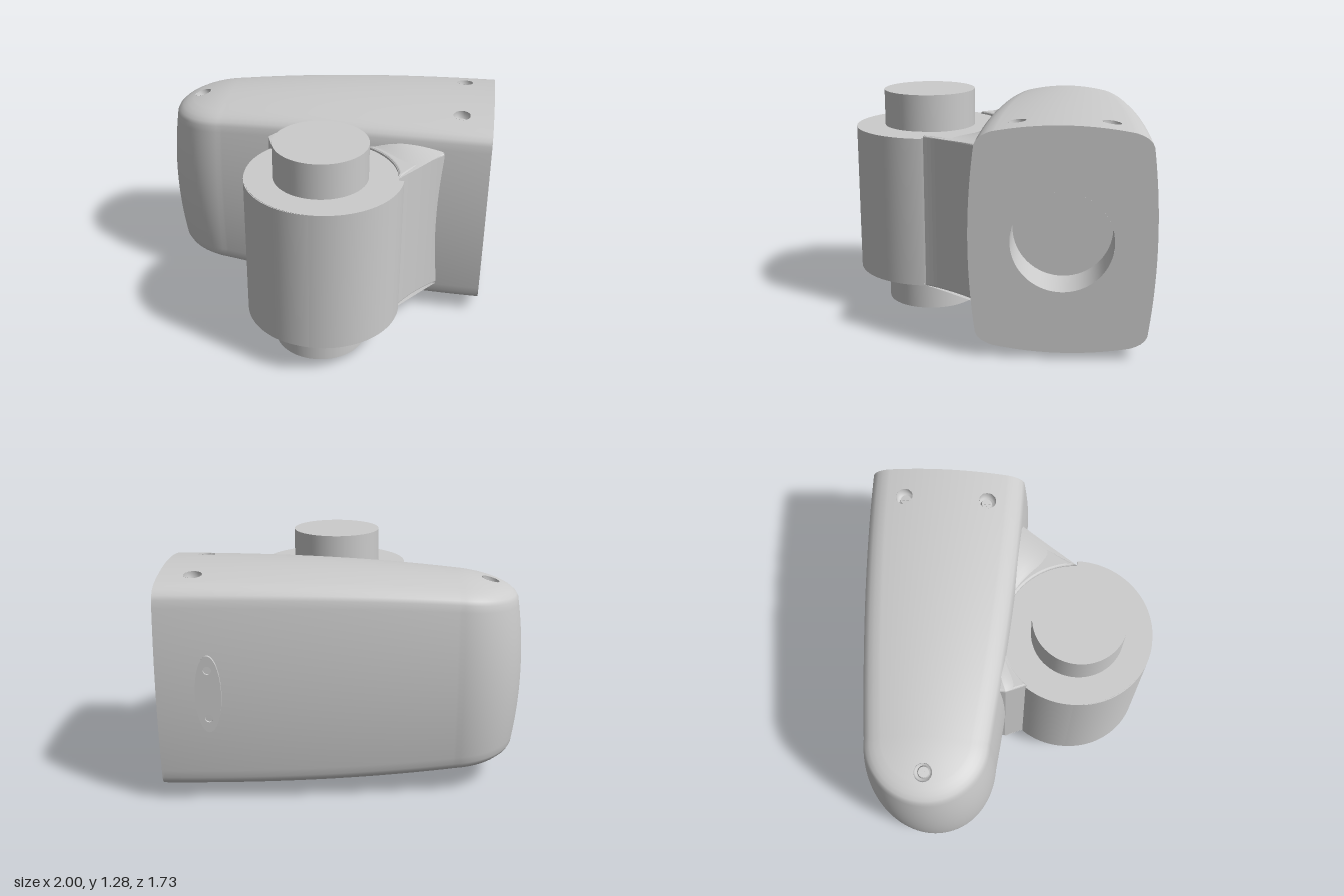
import * as THREE from 'three';

const CY = 0.645, CZ = -0.375, NOSE = -0.62; // body centre height, centre depth, nose arc centre
const SCREWS = [[0.815, -0.62], [0.815, -0.13], [-0.81, CZ]];
const HOLE = 0.05, RIM = 0.125;
const grey = new THREE.MeshStandardMaterial({ color: 0xcccccc });
const grey2 = new THREE.MeshStandardMaterial({ color: 0xcccccc, side: THREE.DoubleSide });

// Body half width and half height along x
const halfWidth = x => 0.487 - 0.107 * Math.pow(Math.min(1, (1 - x) / (1 - NOSE)), 1.7);
const halfHeight = x => 0.61 - 0.087 * Math.pow((1 - x) / 1.9, 2.6);

// Height of the crowned top face above the body centre
function crown(x, z) {
  const r = x > NOSE ? Math.abs(z - CZ) : Math.hypot(x - NOSE, z - CZ);
  const k = r / (halfWidth(x) - RIM);
  return halfHeight(x) * (1 - 0.057 * k * k);
}

function part(group, name, geometry, material = grey) {
  const m = new THREE.Mesh(geometry, material);
  m.name = name;
  group.add(m);
  return m;
}

// Indexed grid surface from rows of points; skip(a, b, c) drops triangles
function gridGeometry(rows, skip = () => false) {
  const n = rows[0].length, pos = [], index = [];
  rows.forEach(r => r.forEach(p => pos.push(p[0], p[1], p[2])));
  const tri = (a, b, c) => { if (!skip(a, b, c)) index.push(a, b, c); };
  for (let i = 0; i < rows.length - 1; i++)
    for (let j = 0; j < n - 1; j++) {
      const a = i * n + j, b = a + n;
      tri(a, b, a + 1);
      tri(a + 1, b, b + 1);
    }
  const g = new THREE.BufferGeometry();
  g.setAttribute('position', new THREE.Float32BufferAttribute(pos, 3));
  g.setIndex(index);
  g.computeVertexNormals();
  return g;
}

// Rows of the body skin, bottom to top; each runs round the nose from front to back
function bodyRows() {
  const profile = []; // [inset, height fraction, shrink toward the spine]
  for (let i = 0; i <= 12; i++) {
    const a = i / 12;
    profile.push([0.035 * a * a, 0.828 * a, 0]);
  }
  profile.push([0.047, 0.868, 0], [0.07, 0.903, 0], [0.098, 0.927, 0]);
  for (let i = 0; i <= 24; i++) profile.push([RIM, null, i / 24]);
  const full = [...profile.slice(1).reverse().map(p => [...p, -1]), ...profile.map(p => [...p, 1])];

  const stations = [];
  const N = 120, M = 48;
  for (let i = 0; i <= N; i++) stations.push([1 + (NOSE - 1) * i / N, 0, 1]);
  for (let i = 1; i < M; i++) {
    const t = Math.PI * i / M;
    stations.push([NOSE, -Math.sin(t), Math.cos(t)]);
  }
  for (let i = N; i >= 0; i--) stations.push([1 + (NOSE - 1) * i / N, 0, -1]);

  return full.map(([inset, frac, q, side]) => stations.map(([sx, dx, dz]) => {
    const r = (halfWidth(sx) - inset) * (1 - q);
    let x = sx + dx * r, z = CZ + dz * r, inHole = false;
    if (frac !== null) return [x, CY + side * frac * halfHeight(x), z, false];
    // push points inside a screw hole out to its rim
    for (const [hx, hz] of SCREWS) {
      const d = Math.hypot(x - hx, z - hz);
      if (d < HOLE) {
        const ux = d > 1e-5 ? (x - hx) / d : 1, uz = d > 1e-5 ? (z - hz) / d : 0;
        x = hx + ux * HOLE;
        z = hz + uz * HOLE;
        inHole = true;
      }
    }
    return [x, CY + side * crown(x, z), z, inHole];
  }));
}

function buildBody(g) {
  const rows = bodyRows(), flat = rows.flat();
  part(g, 'bodyShell', gridGeometry(rows, (a, b, c) => flat[a][3] && flat[b][3] && flat[c][3]));

  // Flat end with a round blind bore
  const outline = [
    ...rows.map(r => r[0]),
    ...rows.map(r => r[r.length - 1]).reverse(),
  ].map(p => new THREE.Vector2(-p[2], p[1]));
  const shape = new THREE.Shape(outline);
  shape.holes.push(new THREE.Path().absarc(-CZ, CY, 0.27, 0, Math.PI * 2, true));
  part(g, 'endFace', new THREE.ShapeGeometry(shape, 40).rotateY(Math.PI / 2), grey2).position.x = 1;
  const wall = new THREE.CylinderGeometry(0.27, 0.27, 0.25, 64, 1, true).rotateZ(Math.PI / 2);
  part(g, 'boreWall', wall, grey2).position.set(0.875, CY, CZ);
  part(g, 'boreFloor', new THREE.CircleGeometry(0.27, 64).rotateY(Math.PI / 2)).position.set(0.75, CY, CZ);
}

// Recessed cross-head screws, top and bottom
function buildScrews(g) {
  for (const [x, z] of SCREWS)
    for (const side of [1, -1]) {
      const s = new THREE.Group();
      s.name = 'screw';
      const well = [[HOLE, 0], [HOLE, -0.06], [0, -0.06]].map(p => new THREE.Vector2(...p));
      part(s, 'screwWell', new THREE.LatheGeometry(well, 28), grey2);
      part(s, 'screwHead', new THREE.CylinderGeometry(0.03, 0.036, 0.02, 24)).position.y = -0.05;
      for (const a of [0, Math.PI / 2])
        part(s, 'screwCross', new THREE.BoxGeometry(0.04, 0.006, 0.008)).rotation.y = a, s.children.at(-1).position.y = -0.04;
      const e = 0.01;
      const normal = new THREE.Vector3(
        (crown(x - e, z) - crown(x + e, z)) / (2 * e), 1,
        (crown(x, z - e) - crown(x, z + e)) / (2 * e)).normalize();
      normal.y *= side;
      s.position.set(x, CY + side * crown(x, z), z);
      s.quaternion.setFromUnitVectors(new THREE.Vector3(0, 1, 0), normal);
      g.add(s);
    }
}

// Oval plate with two small holes on the back
function buildPlate(g) {
  const oval = new THREE.Shape().absellipse(0, 0, 0.07, 0.215, 0, Math.PI * 2);
  for (const y of [-0.135, 0.135])
    oval.holes.push(new THREE.Path().absarc(0, y, 0.022, 0, Math.PI * 2, true));
  const geo = new THREE.ExtrudeGeometry(oval, { depth: 0.03, bevelEnabled: false, curveSegments: 32 });
  part(g, 'backPlate', geo).position.set(0.72, CY, -0.867);
}

function buildHinge(g) {
  part(g, 'hingePin', new THREE.CylinderGeometry(0.266, 0.266, 1.285, 64)).position.set(0.075, 0.6425, 0.43);
  part(g, 'hingeBarrel', new THREE.CylinderGeometry(0.43, 0.43, 0.856, 80)).position.set(0.075, CY, 0.43);
  // Slightly larger sleeve round the front of the barrel
  part(g, 'barrelSleeve', new THREE.CylinderGeometry(0.445, 0.445, 0.86, 72, 1, false, -2.21, 3.78), grey2)
    .position.set(0.09, CY, 0.415);

  // Arm from the body, hollowed to hold the barrel
  const arc = t => { // circle point from the left notch over the back to the right notch
    const a = -2.26 - t * (2 * Math.PI - 2.26 - 1.615);
    return [0.075 + 0.43 * Math.sin(a), 0.43 + 0.43 * Math.cos(a)];
  };
  const arm = new THREE.Shape();
  arm.moveTo(-0.3, -0.04);
  arm.lineTo(-0.3, 0.1);
  arm.lineTo(-0.74, 0.1);
  arm.curves.length = 0;
  arm.moveTo(-0.257, -0.157);
  arm.lineTo(-0.305, -0.04);
  arm.lineTo(-0.3, 0.1);
  arm.lineTo(0.74, 0.1);
  arm.lineTo(0.735, -0.085);
  arm.quadraticCurveTo(0.59, -0.22, 0.504, -0.41);
  for (let i = 31; i > 0; i--) {
    const [x, z] = arc(i / 32);
    arm.lineTo(x, -z);
  }
  const armGeo = new THREE.ExtrudeGeometry(arm, {
    depth: 0.866, bevelThickness: 0.012, bevelSize: 0.012, bevelOffset: -0.012, bevelSegments: 3, curveSegments: 16,
  }).rotateX(-Math.PI / 2);
  part(g, 'hingeArm', armGeo, grey2).position.y = 0.212;

  // Curved flares blending the arm into the body above and below
  const rim = new THREE.QuadraticBezierCurve(
    new THREE.Vector2(-0.305, 0.04), new THREE.Vector2(0.11, -0.155), new THREE.Vector2(0.735, 0.085));
  for (const side of [1, -1]) {
    const rows = [];
    for (let i = 0; i <= 6; i++) {
      const k = i / 6, row = [];
      for (let j = 0; j <= 40; j++) {
        const t = j / 40, [ax, az] = arc(t), o = rim.getPoint(t);
        const rise = 0.44 + k * k * (0.01 + 0.11 * Math.sin(Math.PI * t));
        row.push([ax + (o.x - ax) * k, CY + side * rise, az + (o.y - az) * k]);
      }
      rows.push(row);
    }
    part(g, side > 0 ? 'upperFlare' : 'lowerFlare', gridGeometry(side > 0 ? rows : rows.reverse()), grey2);
  }
}

export function createModel() {
  const model = new THREE.Group();
  model.name = 'hingedHousing';
  for (const [name, build] of [['body', buildBody], ['screws', buildScrews], ['plate', buildPlate], ['hinge', buildHinge]]) {
    const g = new THREE.Group();
    g.name = name;
    build(g);
    model.add(g);
  }
  return model;
}
